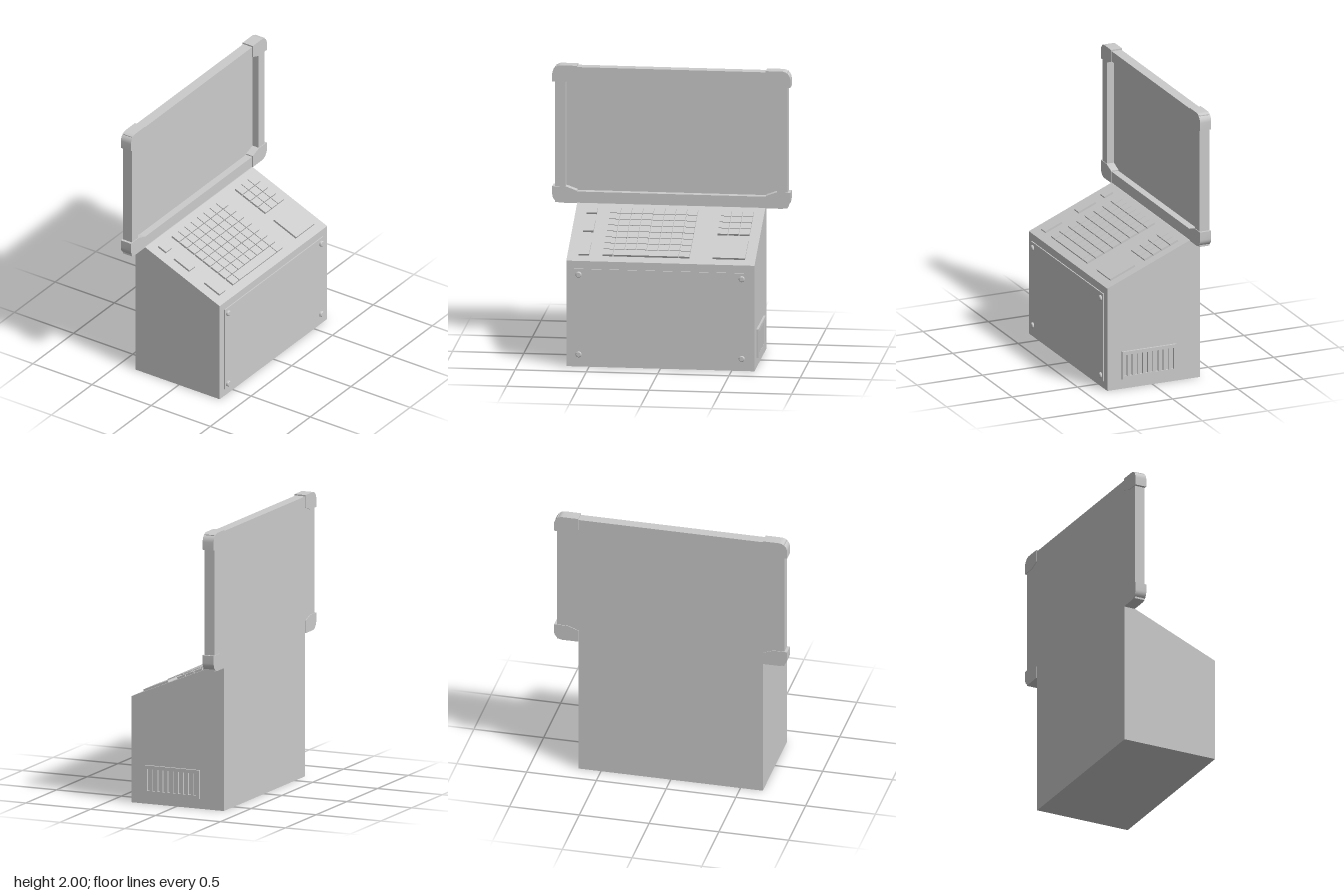
import * as THREE from 'three';
import { toCreasedNormals } from 'three/addons/utils/BufferGeometryUtils.js';

const material = new THREE.MeshStandardMaterial({ color: 0xcccccc });

function add(parent, name, geometry) {
  const mesh = new THREE.Mesh(geometry, material);
  mesh.name = name;
  parent.add(mesh);
  return mesh;
}

// Box given by its limits on each axis
function span(x0, x1, y0, y1, z0, z1) {
  return new THREE.BoxGeometry(x1 - x0, y1 - y0, z1 - z0)
    .translate((x0 + x1) / 2, (y0 + y1) / 2, (z0 + z1) / 2);
}

function rectangle(Type, a0, a1, b0, b1) {
  return new Type([[a0, b0], [a1, b0], [a1, b1], [a0, b1]].map(p => new THREE.Vector2(...p)));
}

// Extrude a (z, y) outline between two x positions
function extrudeAlongX(shape, x0, x1) {
  return new THREE.ExtrudeGeometry(shape, { depth: x1 - x0, bevelEnabled: false, curveSegments: 8 })
    .rotateY(-Math.PI / 2).translate(x1, 0, 0);
}

export function createModel() {
  const model = new THREE.Group();
  model.name = 'terminal';

  // Wedge-topped cabinet
  const profile = new THREE.Shape([
    [-0.365, 0], [0.345, 0], [0.345, 0.755], [-0.285, 1.02], [-0.365, 1.02],
  ].map(p => new THREE.Vector2(...p)));
  add(model, 'cabinet', new THREE.ExtrudeGeometry(profile, { depth: 1.32, bevelEnabled: false })
    .translate(0, 0, -0.66));

  // Screen: frame with a recessed panel
  const screen = new THREE.Group();
  screen.name = 'screen';
  model.add(screen);
  const frame = rectangle(THREE.Shape, -0.815, 0.815, 1.02, 1.99);
  frame.holes.push(rectangle(THREE.Path, -0.742, 0.742, 1.10, 1.915));
  add(screen, 'screenFrame', extrudeAlongX(frame, -0.365, -0.29));
  add(screen, 'screenPanel', span(-0.365, -0.342, 1.10, 1.915, -0.742, 0.742));

  // Rounded bumpers on the four screen corners
  for (const sz of [-1, 1]) for (const sy of [-1, 1]) {
    const z = v => sz * v, y = v => 1.509 + sy * v;
    const s = new THREE.Shape();
    s.moveTo(z(0.662), y(0.491));
    s.lineTo(z(0.775), y(0.491));
    s.bezierCurveTo(z(0.808), y(0.491), z(0.835), y(0.464), z(0.835), y(0.431));
    s.lineTo(z(0.835), y(0.375));
    s.lineTo(z(0.738), y(0.375));
    s.lineTo(z(0.662), y(0.402));
    s.closePath();
    add(screen, 'cornerBumper', toCreasedNormals(extrudeAlongX(s, -0.37, -0.285), 0.5));
  }

  // Keyboard, lying on the sloped top
  const slope = Math.atan2(0.265, 0.63);
  const keyboard = new THREE.Group();
  keyboard.name = 'keyboard';
  keyboard.position.set(0.03, 0.8875, 0);
  keyboard.rotation.z = -slope;
  model.add(keyboard);
  // Key limits are measured on the plan, then stretched along the slope
  const key = (name, x0, x1, z0, z1) => add(keyboard, name,
    span((x0 - 0.03) / Math.cos(slope), (x1 - 0.03) / Math.cos(slope), -0.01, 0.014, z0, z1));
  const column = i => -0.232 + i * 0.0655;
  const row = (start, i) => start + i * 0.077;
  for (let i = 0; i < 7; i++) for (let j = 0; j < 8; j++) {
    key('mainKey', column(i), column(i) + 0.06, row(-0.196, j), row(-0.196, j) + 0.071);
  }
  for (let i = 0; i < 4; i++) for (let j = 0; j < 3; j++) {
    key('numberKey', column(i), column(i) + 0.06, row(-0.587, j), row(-0.587, j) + 0.071);
  }
  key('cornerKey', 0.2265, 0.285, -0.196, -0.125);
  key('spaceBar', 0.2265, 0.285, -0.119, 0.337);
  key('cornerKey', 0.2265, 0.285, 0.343, 0.414);
  key('trackPad', 0.096, 0.285, -0.587, -0.36);
  for (const [x0, x1] of [[-0.232, -0.167], [-0.1, 0.03], [0.157, 0.285]]) {
    key('sideKey', x0, x1, 0.507, 0.58);
  }

  // Service panel with four bolts
  add(model, 'servicePanel', span(0.34, 0.353, 0.055, 0.70, -0.605, 0.605));
  for (const z of [-0.572, 0.572]) for (const y of [0.09, 0.66]) {
    const bolt = new THREE.LatheGeometry([[0.021, 0], [0.021, 0.013], [0.016, 0.018], [0, 0.018]]
      .map(p => new THREE.Vector2(...p)), 16);
    add(model, 'bolt', toCreasedNormals(bolt.rotateZ(-Math.PI / 2).translate(0.35, y, z), 0.5));
  }

  // Slotted vent on the right side
  const vent = rectangle(THREE.Shape, -0.18, 0.235, 0.07, 0.275);
  for (let i = 0; i < 10; i++) {
    const x = -0.157 + i * 0.0395;
    vent.holes.push(rectangle(THREE.Path, x, x + 0.02, 0.095, 0.25));
  }
  add(model, 'vent', new THREE.ExtrudeGeometry(vent, { depth: 0.02, bevelEnabled: false })
    .translate(0, 0, -0.675));

  return model;
}
